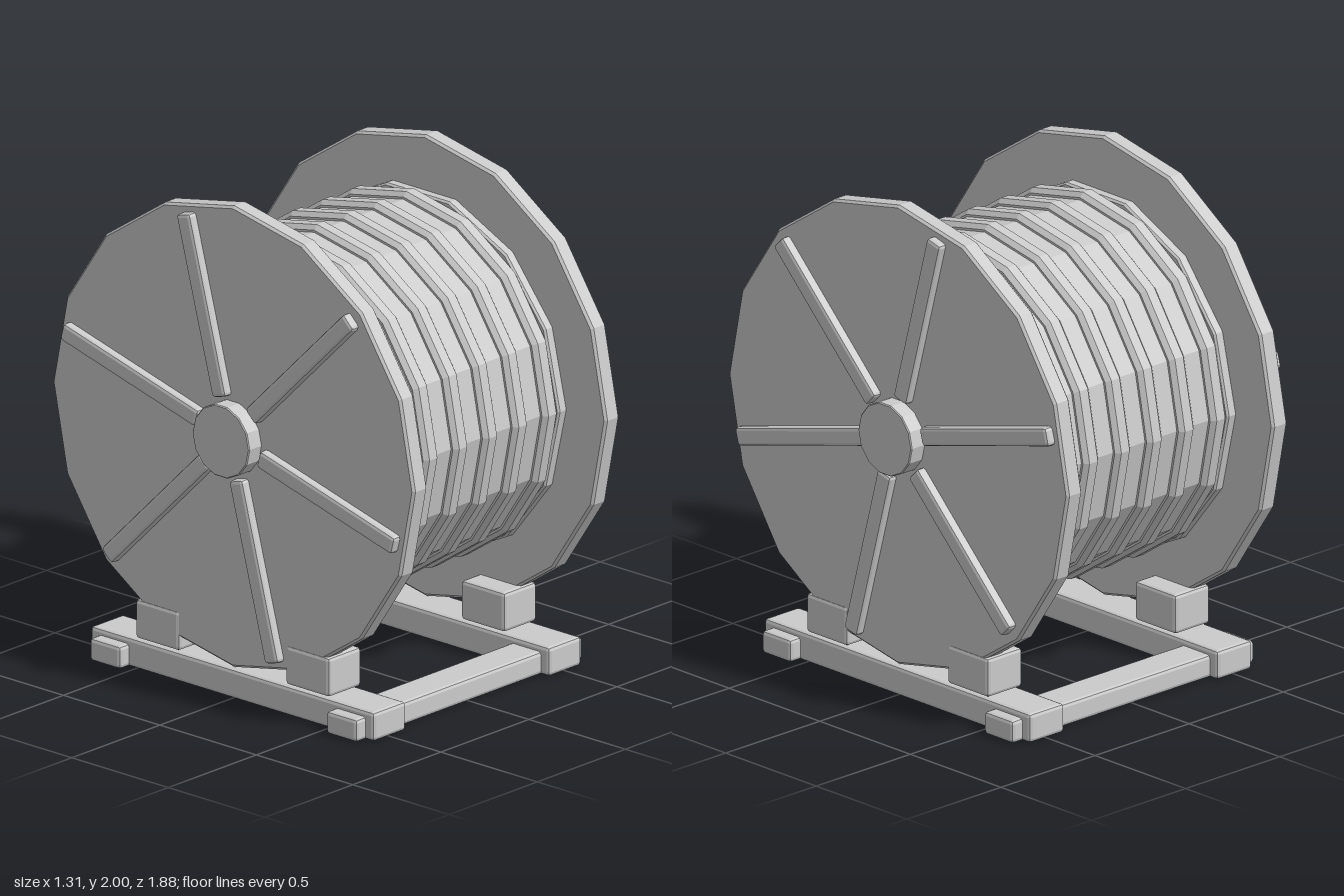
import * as THREE from 'three';
import { RoundedBoxGeometry } from 'three/addons/geometries/RoundedBoxGeometry.js';

const AXLE_Y = 1.062;

export function createModel() {
  const model = new THREE.Group();
  model.name = 'cableReel';
  const material = new THREE.MeshStandardMaterial({ color: 0xcccccc, flatShading: true });

  function add(name, geometry, x, y, z) {
    const mesh = new THREE.Mesh(geometry, material);
    mesh.name = name;
    mesh.position.set(x, y, z);
    model.add(mesh);
    return mesh;
  }

  // Bevelled polygonal disc whose axis lies along x
  function disc(name, x, radius, width, sides, bevel) {
    const h = width / 2;
    const profile = [
      [0, -h], [radius - bevel, -h], [radius, -h + bevel],
      [radius, h - bevel], [radius - bevel, h], [0, h],
    ].map(([r, y]) => new THREE.Vector2(r, y));
    const geometry = new THREE.LatheGeometry(profile, sides);
    geometry.rotateZ(-Math.PI / 2);
    return add(name, geometry, x, AXLE_Y, 0);
  }

  // Box with softened edges
  function block(name, w, h, d, x, y, z, bevel = 0.015) {
    return add(name, new RoundedBoxGeometry(w, h, d, 1, bevel), x, y, z);
  }

  // Drum and the wound cable ribs
  disc('drum', 0, 0.71, 1.02, 16, 0.005);
  for (let i = 0; i < 6; i++) {
    disc('cableRib', (i - 2.5) * 0.169, 0.737, 0.08, 16, 0.018);
  }

  for (const side of [-1, 1]) {
    // End flange, inner collar and hub
    disc('flange', side * 0.545, 0.938, 0.08, 16, 0.01);
    disc('collar', side * 0.485, 0.735, 0.05, 14, 0.008);
    disc('hub', side * 0.615, 0.148, 0.08, 14, 0.004);

    // Six radial battens on the outer face
    for (let i = 0; i < 6; i++) {
      const a = THREE.MathUtils.degToRad(15 + 60 * i);
      const r = 0.527;
      const spoke = block('spoke', 0.06, 0.074, 0.725,
        side * 0.591, AXLE_Y + r * Math.sin(a), -r * Math.cos(a), 0.014);
      spoke.rotation.x = a;
    }

    // Base rail with two chocks holding the flange
    block('baseRail', 0.185, 0.117, 1.47, side * 0.498, 0.0585, 0);
    for (const end of [-1, 1]) {
      block('chock', 0.185, 0.16, 0.228, side * 0.498, 0.203, end * 0.389);
    }
  }

  // Cross beams at the front and back
  for (const end of [-1, 1]) {
    block('crossBeam', 1.285, 0.092, 0.16, 0, 0.046, end * 0.613);
  }

  return model;
}
